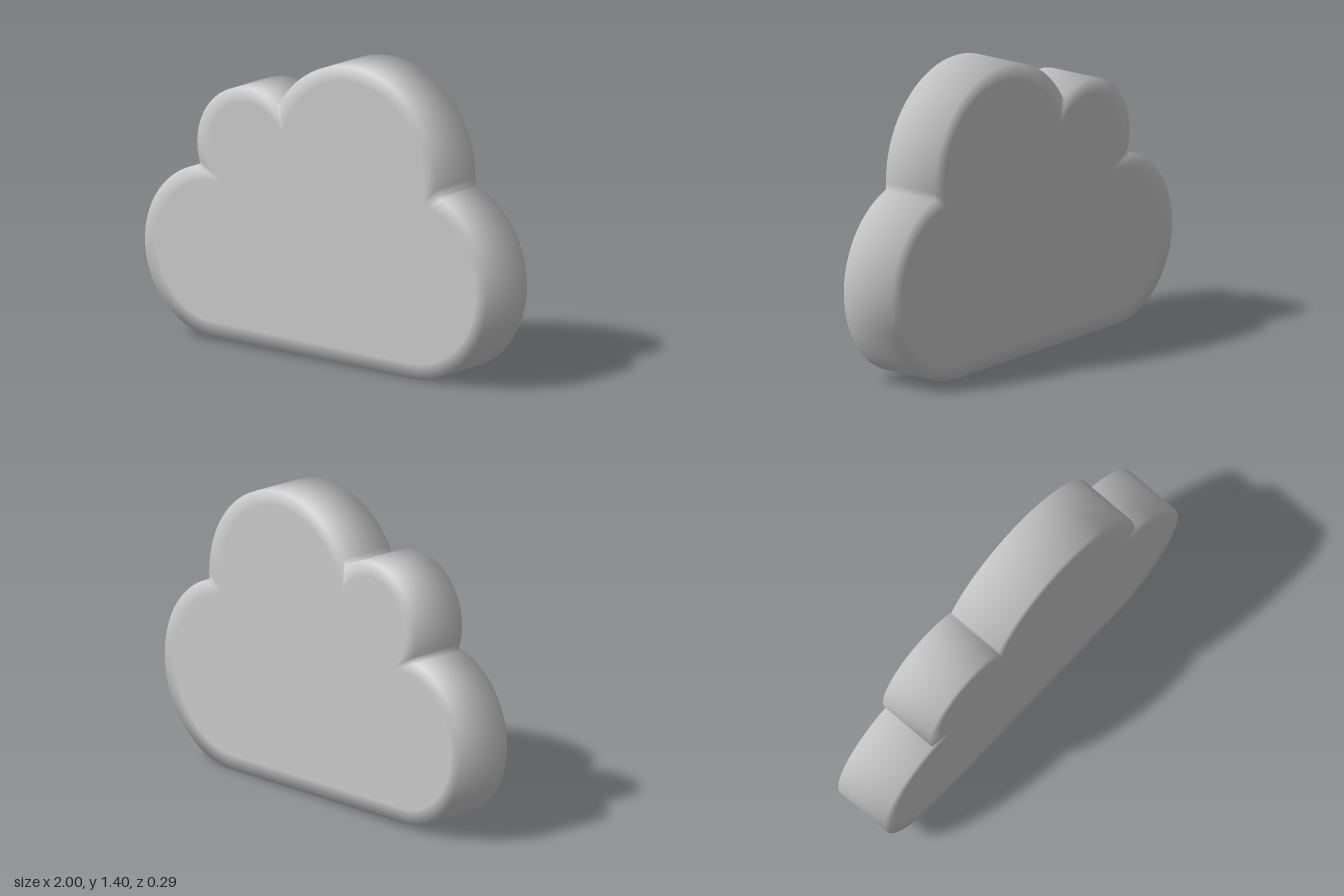
import * as THREE from 'three';

const HALF_DEPTH = 0.143, INSET = 0.07, STEPS = 40;

// Puffs of the cloud, counter-clockwise from lower right: x, y, radius
const PUFFS = [
  [0.55, 0.45, 0.45],
  [0.205, 0.91, 0.495],
  [-0.4, 0.92, 0.295],
  [-0.6, 0.42, 0.4],
];
// Direction of the touching points of the straight base
const BASE_ANGLE = THREE.MathUtils.degToRad(-91);

// Outer crossing point of two neighbouring circles
function crossing([ax, ay, ar], [bx, by, br]) {
  const dx = bx - ax, dy = by - ay, d = Math.hypot(dx, dy);
  const along = (d * d + ar * ar - br * br) / (2 * d);
  const out = Math.sqrt(Math.max(0, ar * ar - along * along));
  return [ax + (dx * along + dy * out) / d, ay + (dy * along - dx * out) / d];
}

// Outline of the cloud shrunk by a distance: points with outward directions
function outline(shrink) {
  const circles = PUFFS.map(([x, y, r]) => [x, y, r - shrink]);
  const points = [], normals = [];
  let previousEnd = null;
  circles.forEach((c, i) => {
    const angleTo = ([x, y]) => Math.atan2(y - c[1], x - c[0]);
    const last = i === circles.length - 1;
    const start = i === 0 ? BASE_ANGLE : angleTo(crossing(circles[i - 1], c));
    let end = last ? BASE_ANGLE : angleTo(crossing(c, circles[i + 1]));
    if (end <= start) end += 2 * Math.PI;
    for (let k = 0; k < STEPS + (last ? 1 : 0); k++) {
      const a = start + (end - start) * k / STEPS;
      const dir = new THREE.Vector2(Math.cos(a), Math.sin(a));
      points.push(new THREE.Vector2(c[0] + c[2] * dir.x, c[1] + c[2] * dir.y));
      // Blend the directions where two puffs meet
      if (k === 0 && previousEnd) dir.add(previousEnd).normalize();
      normals.push(dir);
    }
    previousEnd = new THREE.Vector2(Math.cos(end), Math.sin(end));
  });
  return { points, normals };
}

function cloudGeometry() {
  const rim = outline(0), inner = outline(INSET);
  const n = rim.points.length;
  const positions = [], normals = [], index = [];

  // Four loops: front inset, front rim, back rim, back inset
  const addLoop = (points, z, normalAt) => points.forEach((p, i) => {
    positions.push(p.x, p.y, z);
    normals.push(...normalAt(i));
  });
  const rimNormal = (side) => (i) => {
    const d = rim.normals[i];
    return [d.x * Math.SQRT1_2, d.y * Math.SQRT1_2, side * Math.SQRT1_2];
  };
  addLoop(inner.points, HALF_DEPTH, () => [0, 0, 1]);
  addLoop(rim.points, HALF_DEPTH, rimNormal(1));
  addLoop(rim.points, -HALF_DEPTH, rimNormal(-1));
  addLoop(inner.points, -HALF_DEPTH, () => [0, 0, -1]);

  // Soft-shaded border, side wall and back border
  for (let loop = 0; loop < 3; loop++) {
    for (let i = 0; i < n; i++) {
      const j = (i + 1) % n;
      const a = loop * n + i, b = loop * n + j, c = a + n, d = b + n;
      index.push(a, c, d, a, d, b);
    }
  }
  // Flat front and back faces
  for (const [a, b, c] of THREE.ShapeUtils.triangulateShape(inner.points, [])) {
    index.push(a, b, c, 3 * n + a, 3 * n + c, 3 * n + b);
  }

  const geometry = new THREE.BufferGeometry();
  geometry.setAttribute('position', new THREE.Float32BufferAttribute(positions, 3));
  geometry.setAttribute('normal', new THREE.Float32BufferAttribute(normals, 3));
  geometry.setIndex(index);
  return geometry;
}

export function createModel() {
  const group = new THREE.Group();
  group.name = 'cloud';
  const body = new THREE.Mesh(cloudGeometry(), new THREE.MeshStandardMaterial({ color: 0xcccccc }));
  body.name = 'cloudBody';
  group.add(body);
  return group;
}
